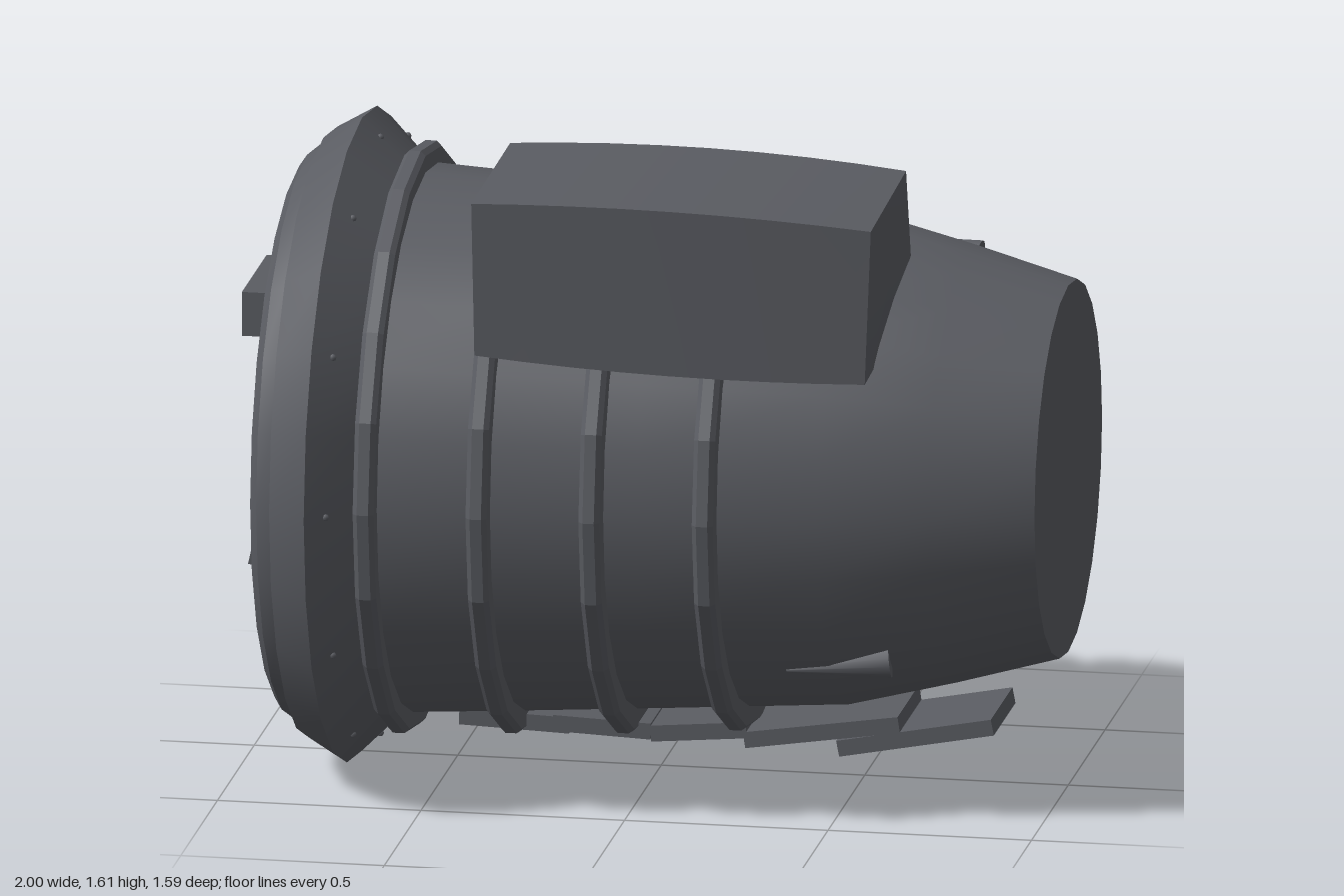
import * as THREE from 'three';
import { toCreasedNormals } from 'three/addons/utils/BufferGeometryUtils.js';

const CY = 0.8; // height of the barrel axis
const dark = new THREE.MeshStandardMaterial({ color: 0x5a5c62 });
const darkFlat = new THREE.MeshStandardMaterial({ color: 0x5a5c62, flatShading: true });
const blue = new THREE.MeshStandardMaterial({ color: 0x7cc4f0 });

export function createModel() {
  const model = new THREE.Group();

  function add(name, geometry, material, x = 0, y = 0, z = 0) {
    const mesh = new THREE.Mesh(geometry, material);
    mesh.name = name;
    mesh.position.set(x, y, z);
    model.add(mesh);
    return mesh;
  }

  // Turned part about the x axis; profile points are [x, radius]
  function turned(name, profile, material, sides = 24) {
    const pts = profile.map(([x, r]) => new THREE.Vector2(r, x));
    const geo = new THREE.LatheGeometry(pts, sides).rotateZ(-Math.PI / 2);
    return add(name, toCreasedNormals(geo, 0.45), material, 0, CY, 0);
  }

  // Tapered barrel with a closed nose
  turned('barrel', [[-0.66, 0.67], [-0.36, 0.652], [0.05, 0.625], [0.49, 0.595],
    [0.75, 0.53], [1, 0.46], [1, 0]], dark);

  // Flared collar with a rim around a recessed back plate
  turned('collar', [[-0.865, 0], [-0.865, 0.57], [-0.89, 0.59], [-0.89, 0.665], [-0.87, 0.695],
    [-0.835, 0.71], [-0.83, 0.74], [-0.735, 0.795], [-0.63, 0.69], [-0.63, 0.64]], dark);

  // Hoops around the barrel
  [0.718, 0.705, 0.692, 0.672].forEach((r, i) => {
    const x = -0.605 + i * 0.275;
    turned('hoop', [[x - 0.026, r - 0.08], [x - 0.026, r - 0.012], [x - 0.014, r],
      [x + 0.014, r], [x + 0.026, r - 0.012], [x + 0.026, r - 0.08]], darkFlat, 20);
  });

  // Stepped blue lens on the back plate
  turned('lens', [[-0.955, 0], [-0.955, 0.225], [-0.9, 0.275], [-0.89, 0.28],
    [-0.9, 0.3], [-0.9, 0.36], [-0.86, 0.365]], blue, 20);

  // Block and fins around the lens
  add('backBlock', new THREE.BoxGeometry(0.13, 0.11, 0.335), dark, -0.935, 1.135, 0);
  const fin = new THREE.Shape([[-0.99, 0.5], [-0.89, 0.48], [-0.89, 0.66], [-0.955, 0.66]]
    .map(([x, y]) => new THREE.Vector2(x, y)));
  add('lowerFin', new THREE.ExtrudeGeometry(fin, { depth: 0.04, bevelEnabled: false }), dark, 0, 0, 0.1);
  add('sideFin', new THREE.BoxGeometry(0.07, 0.03, 0.08), blue, -0.9, 0.76, -0.32);

  // Rivets on the collar and back plate
  for (let i = 0; i < 12; i++) {
    const a = i * Math.PI / 6;
    add('collarRivet', new THREE.SphereGeometry(0.009, 6, 4), dark,
      -0.69, CY + 0.748 * Math.cos(a), 0.748 * Math.sin(a));
  }
  for (let i = 0; i < 4; i++) {
    const a = i * Math.PI / 2;
    add('plateRivet', new THREE.SphereGeometry(0.016, 8, 6), dark,
      -0.868, CY + 0.47 * Math.cos(a), 0.47 * Math.sin(a));
  }

  add('pod', podGeometry(), dark);

  // Overlapping plates below: start x, start y, end x, end y of the underside
  [[-0.47, 0.125, -0.2, 0.115], [-0.24, 0.12, 0, 0.11], [0, 0.105, 0.235, 0.125],
    [0.23, 0.1, 0.61, 0.157], [0.46, 0.09, 0.84, 0.162]].forEach(([x0, y0, x1, y1]) => {
    const geo = new THREE.BoxGeometry(Math.hypot(x1 - x0, y1 - y0), 0.04, 0.295);
    const plate = add('bellyPlate', geo, dark, (x0 + x1) / 2, (y0 + y1) / 2 + 0.02, 0);
    plate.rotation.z = Math.atan2(y1 - y0, x1 - x0);
  });

  // Teardrop nozzles lying on the barrel, tips pointing back
  [[0.72, 1.22, -0.35], [0.635, 0.41, 0.4]].forEach(([x, y, z]) => {
    const base = new THREE.Vector3(x, y, z);
    const out = new THREE.Vector3(0, y - CY, z).normalize();
    const tip = base.clone().addScaledVector(out, 0.04);
    tip.x -= 0.25;
    const dir = tip.clone().sub(base);
    const nozzle = add('nozzle', new THREE.CylinderGeometry(0.006, 0.042, dir.length(), 12), dark);
    nozzle.position.copy(base).addScaledVector(dir, 0.5);
    nozzle.quaternion.setFromUnitVectors(new THREE.Vector3(0, 1, 0), dir.normalize());
  });

  return model;
}

// Pod lofted through five-cornered sections, tapering and bulging along x
function podGeometry() {
  // Corners as [x, y, z]: outer top, inner top, inner bottom, lower edge, outer bottom
  const back = [[-0.345, 1.585, 0.675], [-0.335, 1.607, 0.2], [-0.35, 1.4, 0.19],
    [-0.34, 1.2, 0.47], [-0.34, 1.2, 0.66]];
  const front = [[0.625, 1.545, 0.61], [0.625, 1.565, 0.13], [0.635, 1.35, 0.12],
    [0.6, 1.15, 0.43], [0.61, 1.16, 0.61]];
  const bulge = [[0.018, 0.012], [0.018, -0.015], [0, -0.015], [-0.012, 0], [-0.012, 0.012]];
  const steps = 8, pos = [];
  const corner = (i, k) => {
    const t = i / steps, b = 4 * t * (1 - t), p = back[k % 5], q = front[k % 5];
    return [p[0] + (q[0] - p[0]) * t, p[1] + (q[1] - p[1]) * t + b * bulge[k % 5][0],
      p[2] + (q[2] - p[2]) * t + b * bulge[k % 5][1]];
  };
  const tri = (a, b, c) => pos.push(...a, ...b, ...c);
  for (let i = 0; i < steps; i++) {
    for (let k = 0; k < 5; k++) {
      const a = corner(i, k), b = corner(i, k + 1), c = corner(i + 1, k + 1), d = corner(i + 1, k);
      tri(a, d, c);
      tri(a, c, b);
    }
  }
  // Slightly domed ends
  for (const [i, offset] of [[0, -0.022], [steps, 0.01]]) {
    const mid = [0, 0, 0];
    for (let k = 0; k < 5; k++) corner(i, k).forEach((v, j) => { mid[j] += v / 5; });
    mid[0] += offset;
    for (let k = 0; k < 5; k++) {
      if (i) tri(mid, corner(i, k + 1), corner(i, k));
      else tri(mid, corner(i, k), corner(i, k + 1));
    }
  }
  const geo = new THREE.BufferGeometry();
  geo.setAttribute('position', new THREE.Float32BufferAttribute(pos, 3));
  return toCreasedNormals(geo, 0.4);
}
